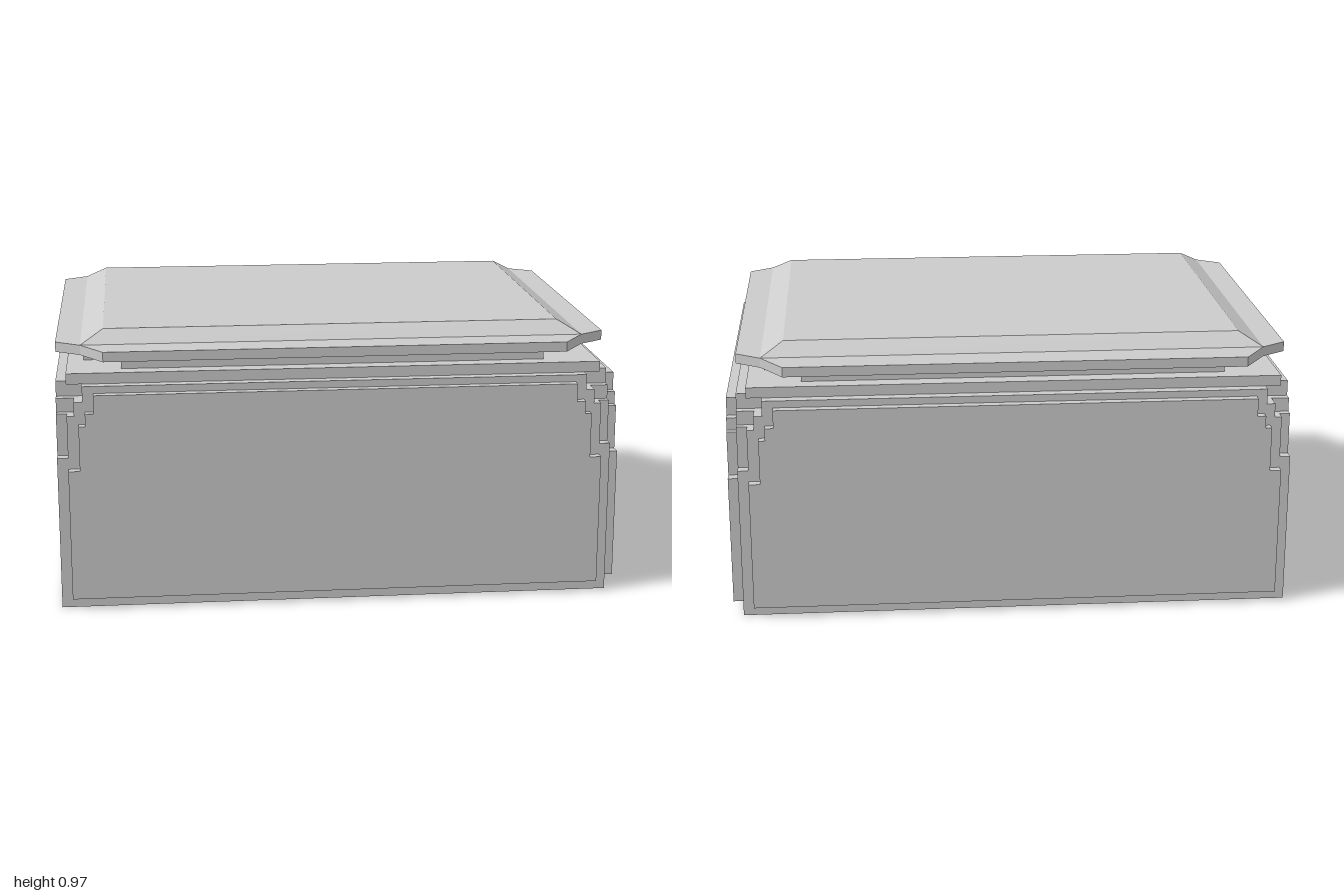
import * as THREE from 'three';

const material = new THREE.MeshStandardMaterial({ color: 0xcccccc, flatShading: true });

// Mirror the points of one quarter (from the +x side round to the +z side) into a closed plan.
function plan(quarter) {
  const back = [...quarter].reverse();
  return new THREE.Shape([
    ...quarter,
    ...back.map(([x, z]) => [-x, z]),
    ...quarter.map(([x, z]) => [-x, -z]),
    ...back.map(([x, z]) => [x, -z]),
  ].map(([x, z]) => new THREE.Vector2(x, z)));
}

// Rectangular plan with a square notch cut from each corner.
function notched(w, d, nx, nz = nx) {
  return plan(nx ? [[w, d - nz], [w - nx, d - nz], [w - nx, d]] : [[w, d]]);
}

function slab(name, shape, y0, y1) {
  const geo = new THREE.ExtrudeGeometry(shape, { depth: y1 - y0, bevelEnabled: false });
  geo.rotateX(-Math.PI / 2).translate(0, y0, 0);
  const mesh = new THREE.Mesh(geo, material);
  mesh.name = name;
  return mesh;
}

// Raised wall panel with stepped upper corners.
function panel(name, halfWidth, depth) {
  const steps = [[0, 0.04], [0, 0.51], [0.04, 0.51], [0.04, 0.67], [0.063, 0.67],
    [0.063, 0.715], [0.093, 0.715], [0.093, 0.78]];
  const right = steps.map(([inset, y]) => new THREE.Vector2(halfWidth - inset, y));
  const left = right.map((p) => new THREE.Vector2(-p.x, p.y)).reverse();
  const geo = new THREE.ExtrudeGeometry(new THREE.Shape([...right, ...left]), { depth, bevelEnabled: false });
  const mesh = new THREE.Mesh(geo, material);
  mesh.name = name;
  return mesh;
}

export function createModel() {
  const model = new THREE.Group();
  model.name = 'box';
  const W = 0.9815, D = 0.78;

  // Body: corner notches deepen towards the top
  const body = new THREE.Group();
  body.name = 'body';
  [[0, 0.55, 0], [0.55, 0.7, 0.038], [0.7, 0.75, 0.063], [0.75, 0.805, 0.093]].forEach(([y0, y1, n], i) => {
    body.add(slab('bodyTier' + (i + 1), notched(W, D, n), y0, y1));
  });

  // Raised panels on the front, back and left walls
  const front = panel('frontPanel', 0.943, 0.032);
  front.position.z = D;
  const back = panel('backPanel', 0.943, 0.032);
  back.rotation.y = Math.PI;
  back.position.z = -D;
  const side = panel('leftPanel', 0.745, 0.037);
  side.rotation.y = Math.PI / 2;
  side.position.x = W;

  // Stepped shoulder and notched neck under the lid
  const shoulder = slab('shoulder', notched(W - 0.038, 0.742, 0), 0.805, 0.843);
  const neck = slab('neck', notched(W - 0.095, 0.683, 0.135, 0.148), 0.843, 0.89);

  // Lid plate with inward-cut corners
  const lid = new THREE.Group();
  lid.name = 'lid';
  lid.add(slab('lidPlate', plan([[W, 0.6], [0.893, 0.66], [0.813, D]]), 0.89, 0.925));

  // Bevelled lid top: a box whose upper corners are drawn in
  const topGeo = new THREE.BoxGeometry(2 * 0.893, 0.045, 2 * 0.66).toNonIndexed();
  const p = topGeo.attributes.position;
  for (let i = 0; i < p.count; i++) {
    if (p.getY(i) > 0) p.setXYZ(i, Math.sign(p.getX(i)) * 0.813, p.getY(i), Math.sign(p.getZ(i)) * 0.6);
  }
  topGeo.computeVertexNormals();
  const top = new THREE.Mesh(topGeo, material);
  top.name = 'lidTop';
  top.position.y = 0.9475;
  lid.add(top);

  const all = new THREE.Group();
  all.name = 'chest';
  all.add(body, front, back, side, shoulder, neck, lid);
  all.position.x = -0.0185; // balances the single side panel
  model.add(all);
  return model;
}
